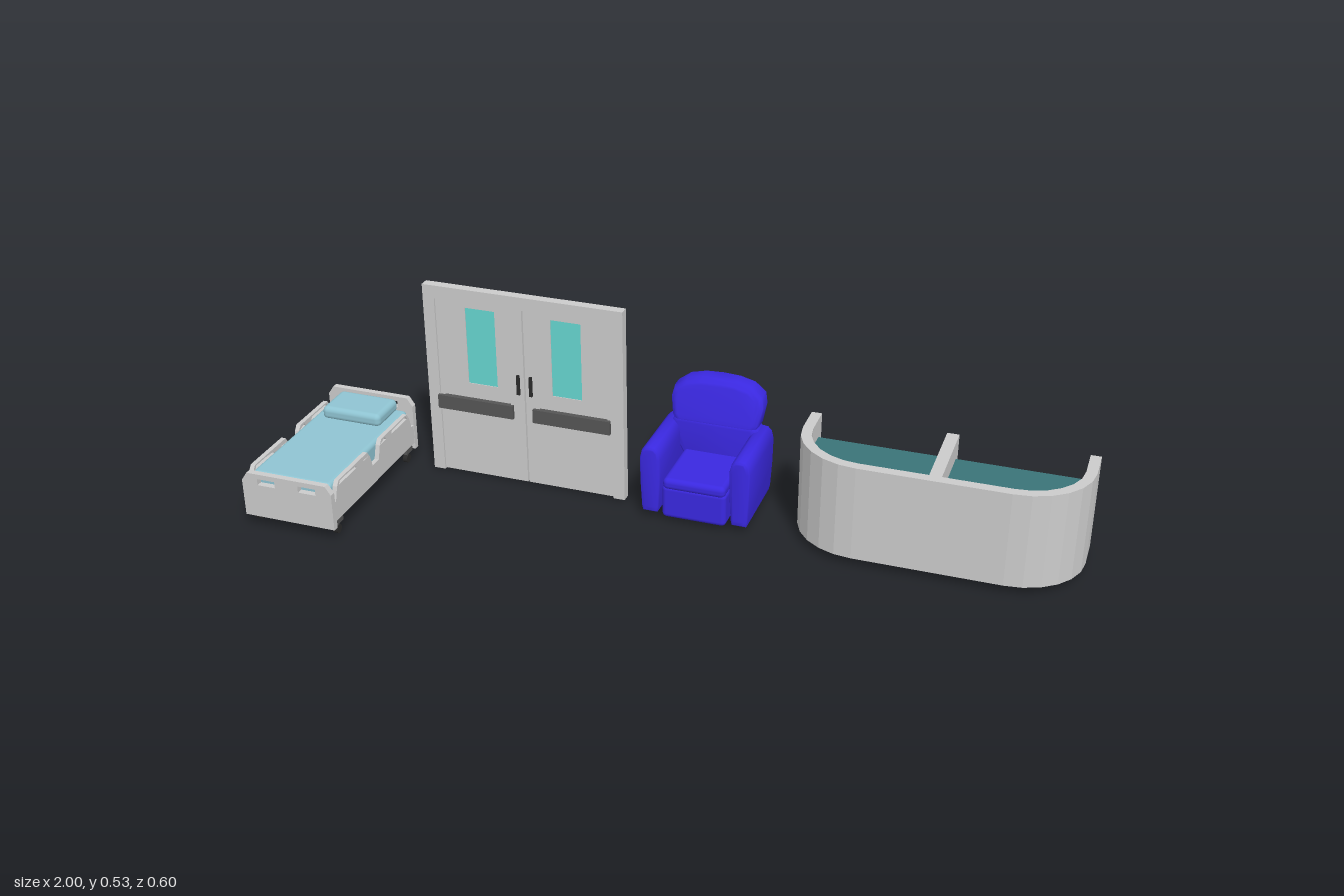
import * as THREE from 'three';
import { RoundedBoxGeometry } from 'three/addons/geometries/RoundedBoxGeometry.js';
import { toCreasedNormals } from 'three/addons/utils/BufferGeometryUtils.js';

const mat = (color) => new THREE.MeshStandardMaterial({ color });
const GREY = mat(0xcccccc), DARK = mat(0x555555), BLACK = mat(0x2a2a2a);
const LINEN = mat(0x8fc4d2), GLASS = mat(0x66d6d0), TEAL = mat(0x3a7478), BLUE = mat(0x3a28e0);

function add(parent, name, geo, material) {
  const m = new THREE.Mesh(geo, material);
  m.name = name;
  parent.add(m);
  return m;
}

// Box given by its limits on each axis
function box(parent, name, material, [x0, x1], [y0, y1], [z0, z1], r = 0) {
  const w = x1 - x0, h = y1 - y0, d = z1 - z0;
  const geo = r ? new RoundedBoxGeometry(w, h, d, 3, r) : new THREE.BoxGeometry(w, h, d);
  geo.translate((x0 + x1) / 2, (y0 + y1) / 2, (z0 + z1) / 2);
  return add(parent, name, geo, material);
}

const poly = (pts) => new THREE.Shape(pts.map((p) => new THREE.Vector2(...p)));
const rect = (x0, x1, y0, y1) => poly([[x0, y0], [x1, y0], [x1, y1], [x0, y1]]);
const slab = (shape, depth) => new THREE.ExtrudeGeometry(shape, { depth, bevelEnabled: false, curveSegments: 6 });

function createBed() {
  const bed = new THREE.Group();
  bed.name = 'bed';
  bed.position.x = -0.877;

  // Chamfered end boards with two hand slots
  const board = (name, top, z) => {
    const s = poly([[-0.123, 0.03], [0.123, 0.03], [0.123, top - 0.022], [0.108, top], [-0.108, top], [-0.123, top - 0.022]]);
    for (const c of [-0.056, 0.056]) s.holes.push(rect(c - 0.024, c + 0.024, top - 0.03, top - 0.013));
    add(bed, name, slab(s, 0.016).translate(0, 0, z), GREY);
  };
  board('footboard', 0.15, 0.286);
  board('headboard', 0.177, -0.157);

  // Side panels and slotted guard rails, drawn in z-y and turned to face sideways
  const rail = (z0, z1, slots) => {
    const s = poly([[z0, 0.098], [z1, 0.098], [z1 - 0.012, 0.135], [z1 - 0.022, 0.148],
      [z0 + 0.022, 0.148], [z0 + 0.01, 0.13]]);
    for (const [a, b] of slots) s.holes.push(poly([[a, 0.135], [b, 0.135], [b - 0.004, 0.144], [a + 0.004, 0.144]]));
    return slab(s, 0.012).rotateY(-Math.PI / 2);
  };
  for (const side of [-1, 1]) {
    const x = side * 0.116;
    box(bed, 'sidePanel', GREY, [x - 0.006, x + 0.006], [0.048, 0.1], [-0.142, 0.286]);
    add(bed, 'footGuardRail', rail(0.088, 0.28, [[0.103, 0.133], [0.167, 0.258]]).translate(x + 0.006, 0, 0), GREY);
    add(bed, 'headGuardRail', rail(-0.13, 0.056, [[-0.108, -0.02], [0.01, 0.042]]).translate(x + 0.006, 0, 0), GREY);
    const c = side * 0.1;
    box(bed, 'chassisBar', DARK, [c - 0.008, c + 0.008], [0.033, 0.043], [-0.142, 0.286]);
    // Casters
    for (const z of [-0.117, 0.263]) {
      const cx = side * 0.108;
      box(bed, 'casterMount', DARK, [cx - 0.01, cx + 0.01], [0.03, 0.047], [z - 0.016, z + 0.016]);
      box(bed, 'casterFork', DARK, [cx - 0.004, cx + 0.004], [0.012, 0.03], [z - 0.004, z + 0.004]);
      add(bed, 'casterWheel', new THREE.CylinderGeometry(0.0115, 0.0115, 0.012, 16).rotateZ(Math.PI / 2).translate(cx, 0.0115, z), BLACK);
    }
  }
  box(bed, 'deck', DARK, [-0.11, 0.11], [0.042, 0.056], [-0.142, 0.286]);
  box(bed, 'mattress', LINEN, [-0.109, 0.109], [0.056, 0.143], [-0.14, 0.28], 0.012);
  box(bed, 'pillow', LINEN, [-0.083, 0.083], [0.138, 0.174], [-0.14, -0.03], 0.014);
  return bed;
}

function createDoors() {
  const doors = new THREE.Group();
  doors.name = 'doubleDoor';
  doors.position.set(-0.417, 0, -0.122);

  // Frame as one upside-down U
  const frame = poly([[-0.267, 0.004], [-0.236, 0.004], [-0.236, 0.492], [0.236, 0.492], [0.236, 0.004],
    [0.267, 0.004], [0.267, 0.527], [-0.267, 0.527]]);
  add(doors, 'doorFrame', slab(frame, 0.025).translate(0, 0, -0.0125), GREY);

  for (const s of [-1, 1]) {
    const span = (a, b) => (s > 0 ? [a, b] : [-b, -a]);
    const leaf = rect(...span(0.002, 0.236), 0.006, 0.492);
    leaf.holes.push(rect(...span(0.075, 0.155), 0.267, 0.476));
    add(doors, 'doorLeaf', slab(leaf, 0.014).translate(0, 0, -0.007), GREY);
    box(doors, 'windowPane', GLASS, span(0.075, 0.155), [0.267, 0.476], [-0.005, 0.005]);
    // Handles and push bars on both faces
    for (const f of [-1, 1]) {
      const depth = (a, b) => (f > 0 ? [a, b] : [-b, -a]);
      box(doors, 'handle', BLACK, span(0.013, 0.021), [0.257, 0.311], depth(0.006, 0.0125));
      box(doors, 'pushBarMount', DARK, span(0.04, 0.222), [0.197, 0.226], depth(0.006, 0.02));
      box(doors, 'pushBar', DARK, span(0.027, 0.235), [0.193, 0.23], depth(0.019, 0.028));
    }
  }
  return doors;
}

// Padded panel: outline grown by a rounded bevel, mirrored about x = 0
function cushion(half, depth, bevel) {
  const right = half.map(([x, y]) => new THREE.Vector2(x, y));
  const left = half.filter(([x]) => x > 0).reverse().map(([x, y]) => new THREE.Vector2(-x, y));
  const geo = new THREE.ExtrudeGeometry(new THREE.Shape([...right, ...left]), {
    depth: depth - 2 * bevel, bevelThickness: bevel, bevelSize: bevel, bevelOffset: -bevel, bevelSegments: 4,
  });
  return geo.translate(0, 0, bevel);
}

function createArmchair() {
  const chair = new THREE.Group();
  chair.name = 'armchair';
  chair.position.x = 0.052;

  box(chair, 'seatBase', BLUE, [-0.083, 0.083], [0.01, 0.1], [-0.24, -0.052], 0.012);
  box(chair, 'seatCushion', BLUE, [-0.081, 0.081], [0.09, 0.121], [-0.23, -0.05], 0.013);

  // Back body flares upward between the arms
  const body = cushion([[0, 0.005], [0.083, 0.005], [0.086, 0.11], [0.108, 0.15], [0.115, 0.195], [0.1, 0.212], [0, 0.212]], 0.062, 0.015);
  add(chair, 'backrest', toCreasedNormals(body.translate(0, 0, -0.278), 0.8), BLUE);

  // Head cushion leans backward
  const head = cushion([[0, 0.19], [0.1, 0.19], [0.114, 0.21], [0.121, 0.255], [0.115, 0.282], [0.085, 0.303], [0.045, 0.312], [0, 0.314]], 0.062, 0.016);
  const p = head.attributes.position;
  for (let i = 0; i < p.count; i++) p.setZ(i, p.getZ(i) - 0.278 - 0.25 * (p.getY(i) - 0.2));
  head.computeVertexNormals();
  add(chair, 'headCushion', toCreasedNormals(head, 0.8), BLUE);

  // Arms swell toward the top, with a padded front facing
  for (const s of [-1, 1]) {
    const arm = cushion([[0, 0.016], [0.019, 0.016], [0.022, 0.03], [0.026, 0.1], [0.027, 0.165], [0.022, 0.186], [0.012, 0.196], [0, 0.198]], 0.215, 0.008);
    add(chair, 'arm', toCreasedNormals(arm.translate(s * 0.116, 0, -0.272), 0.8), BLUE);
  }
  return chair;
}

function createDesk() {
  const desk = new THREE.Group();
  desk.name = 'receptionDesk';
  desk.position.x = 0.648;

  // Plan outline with rounded front corners; y of the shape is z of the desk
  const W = 0.352, T = 0.026, RX = 0.17, RZ = 0.16, BACK = -0.245;
  const arc = (inset, from, to) => {
    const pts = [];
    const n = 6;
    for (let i = 0; i <= n; i++) {
      const a = from + ((to - from) * i) / n;
      const cx = Math.cos((from + to) / 2) > 0 ? W - RX : RX - W;
      pts.push([cx + (RX - inset) * Math.cos(a), -RZ + (RZ - inset) * Math.sin(a)]);
    }
    return pts;
  };
  const edge = (inset, back) => [[W - inset, back], ...arc(inset, 0, Math.PI / 2), ...arc(inset, Math.PI / 2, Math.PI), [inset - W, back]];
  // Upright prism between two heights
  const prism = (pts, y0, y1) => slab(poly(pts.map(([x, z]) => [x, -z])), y1 - y0).rotateX(-Math.PI / 2).translate(0, y0, 0);

  add(desk, 'curvedWall', prism([...edge(0, BACK), ...edge(T, BACK).reverse()], 0.021, 0.267), GREY);
  add(desk, 'base', prism(edge(T, BACK), 0.021, 0.042), GREY);
  add(desk, 'counter', prism(edge(T, -0.217), 0.042, 0.215), TEAL);
  box(desk, 'divider', GREY, [-0.015, 0.015], [0.03, 0.267], [BACK, -0.01]);
  return desk;
}

export function createModel() {
  const model = new THREE.Group();
  model.name = 'clinicFurniture';
  model.add(createBed(), createDoors(), createArmchair(), createDesk());
  return model;
}
